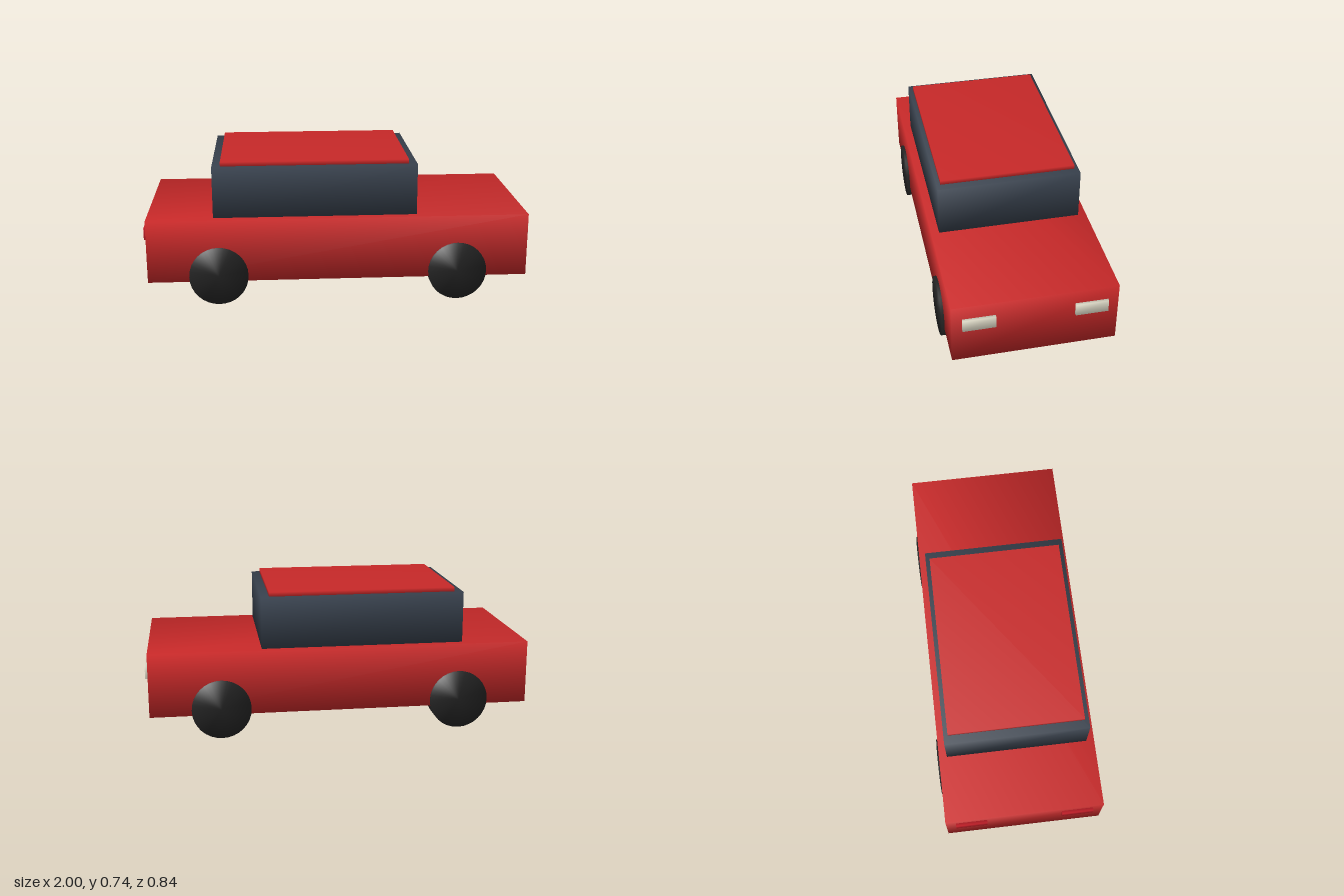
import * as THREE from 'three';
import { mergeVertices } from 'three/addons/utils/BufferGeometryUtils.js';

// Weld all corners so the shading runs smoothly over the edges
function weld(geometry) {
  geometry.deleteAttribute('normal');
  geometry.deleteAttribute('uv');
  const welded = mergeVertices(geometry, 1e-4);
  welded.computeVertexNormals();
  return welded;
}

export function createModel() {
  const car = new THREE.Group();
  car.name = 'car';

  const material = (name, color) => {
    const m = new THREE.MeshStandardMaterial({ color });
    m.name = name;
    return m;
  };
  const paint = material('red paint', 0xc62828);
  const glass = material('dark glass', 0x37404c);
  const rubber = material('black rubber', 0x222222);
  const lamp = material('cream lamp', 0xeeead6);
  const tailLamp = material('red lamp', 0xc8202a);

  const add = (name, geometry, mat) => {
    const mesh = new THREE.Mesh(weld(geometry), mat);
    mesh.name = name;
    car.add(mesh);
    return mesh;
  };

  // Box given by its limits along each axis
  const box = (name, mat, [x0, x1], [y0, y1], [z0, z1]) => {
    const mesh = add(name, new THREE.BoxGeometry(x1 - x0, y1 - y0, z1 - z0), mat);
    mesh.position.set((x0 + x1) / 2, (y0 + y1) / 2, (z0 + z1) / 2);
  };

  // Body, window block and roof panel
  box('body', paint, [-0.985, 0.985], [0.122, 0.451], [-0.409, 0.409]);
  box('cabin', glass, [-0.643, 0.407], [0.451, 0.717], [-0.367, 0.367]);
  box('roof', paint, [-0.6, 0.364], [0.71, 0.739], [-0.345, 0.345]);

  for (const side of [-1, 1]) {
    const lampZ = [side * 0.276 - 0.081, side * 0.276 + 0.081];
    box('headlight', lamp, [0.97, 1], [0.312, 0.377], lampZ);
    box('tailLight', tailLamp, [-1, -0.97], [0.338, 0.4], lampZ);

    // Wheels on both axles
    for (const x of [-0.62, 0.62]) {
      const tyre = new THREE.CylinderGeometry(0.152, 0.152, 0.109, 32).rotateX(Math.PI / 2);
      add('wheel', tyre, rubber).position.set(x, 0.152, side * 0.368);
    }
  }
  return car;
}
